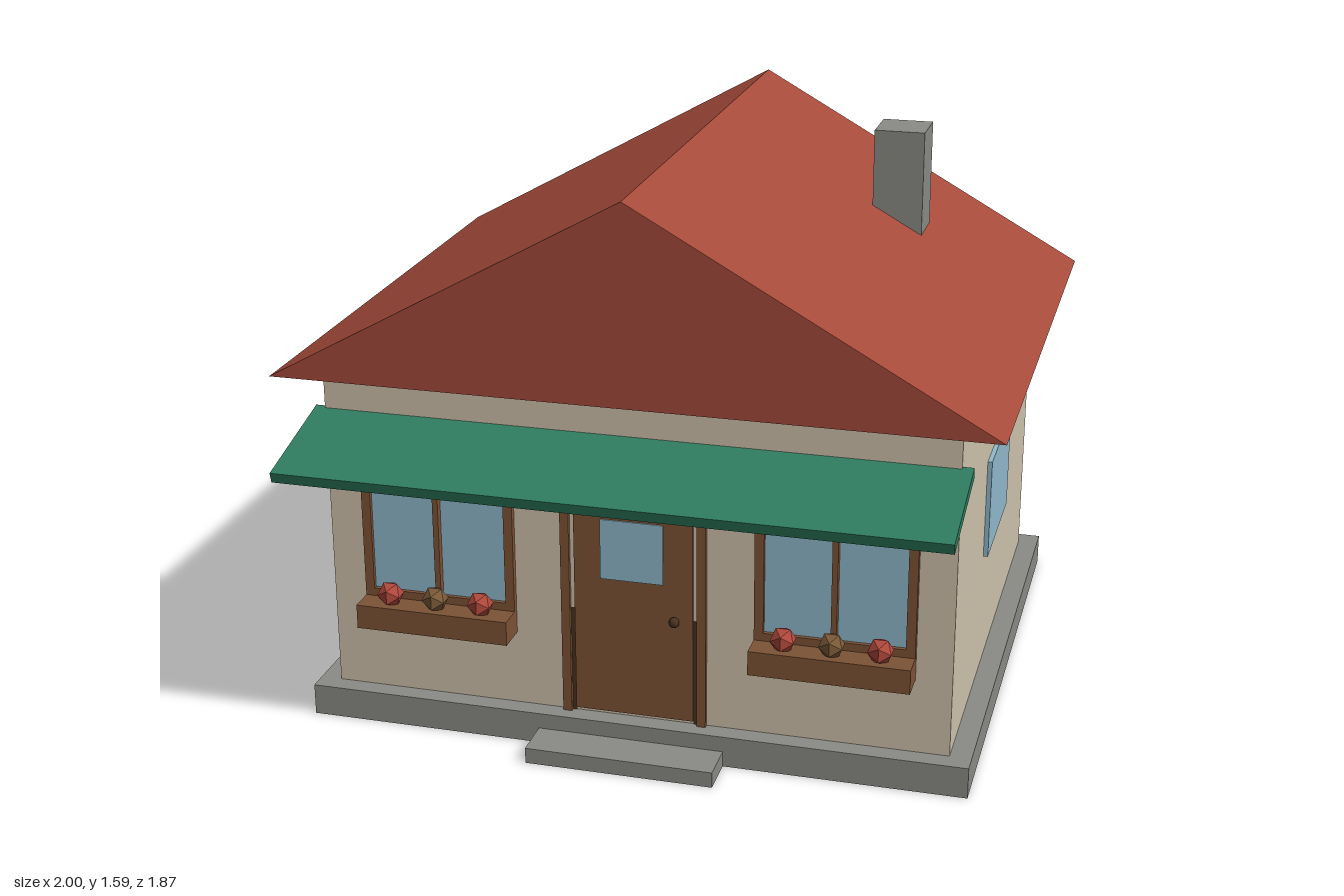
import * as THREE from 'three';

const paint = (name, color) => {
  const m = new THREE.MeshStandardMaterial({ color });
  m.name = name;
  return m;
};

export function createModel() {
  const house = new THREE.Group();
  house.name = 'house';

  const wall = paint('plaster', 0xd0c3ad);
  const roofRed = paint('roofRed', 0xa64b3b);
  const stone = paint('stone', 0x8b8b87);
  const green = paint('awningGreen', 0x2f7d60);
  const wood = paint('wood', 0x7d5335);
  const darkWood = paint('darkWood', 0x49301f);
  const glass = paint('glass', 0x90bacd);
  const red = paint('flowerRed', 0xb0483c);
  const ochre = paint('flowerBrown', 0x7a5a38);

  const add = (parent, name, geometry, material, x = 0, y = 0, z = 0) => {
    const mesh = new THREE.Mesh(geometry, material);
    mesh.name = name;
    mesh.position.set(x, y, z);
    parent.add(mesh);
    return mesh;
  };
  // Box given by its limits along each axis
  const box = (parent, name, material, [x0, x1], [y0, y1], [z0, z1]) =>
    add(parent, name, new THREE.BoxGeometry(x1 - x0, y1 - y0, z1 - z0), material,
      (x0 + x1) / 2, (y0 + y1) / 2, (z0 + z1) / 2);

  // Base and walls
  box(house, 'foundation', stone, [-0.94, 0.94], [0, 0.09], [-0.905, 0.685]);
  box(house, 'doorstep', stone, [-0.265, 0.265], [0, 0.045], [0.685, 0.805]);
  box(house, 'walls', wall, [-0.88, 0.88], [0.09, 1.035], [-0.847, 0.63]);

  // Gabled roof
  const gable = new THREE.Shape([
    new THREE.Vector2(-1, 1.032), new THREE.Vector2(1, 1.032), new THREE.Vector2(0, 1.59),
  ]);
  add(house, 'roof', new THREE.ExtrudeGeometry(gable, { depth: 1.65, bevelEnabled: false }),
    roofRed, 0, 0, -0.935);
  box(house, 'chimney', stone, [0.455, 0.602], [1.2, 1.56], [-0.48, -0.333]);

  // Sloping awning
  const awning = add(house, 'awning', new THREE.BoxGeometry(1.82, 0.03, 0.325), green, 0, 0.87, 0.774);
  awning.rotation.x = 0.25;

  // Side windows
  for (const s of [-1, 1]) {
    add(house, 'sideWindow', new THREE.BoxGeometry(0.02, 0.29, 0.41), glass, s * 0.883, 0.59, -0.11);
  }

  // Front door
  const door = new THREE.Group();
  door.name = 'door';
  house.add(door);
  for (const s of [-1, 1]) {
    add(door, 'doorPost', new THREE.BoxGeometry(0.025, 0.695, 0.02), wood, s * 0.1925, 0.4375, 0.635);
    add(door, 'doorGap', new THREE.BoxGeometry(0.012, 0.34, 0.004), wall, s * 0.174, 0.575, 0.631);
    add(door, 'doorGapLower', new THREE.BoxGeometry(0.012, 0.315, 0.004), darkWood, s * 0.174, 0.2475, 0.631);
  }
  box(door, 'doorLintel', wood, [-0.205, 0.205], [0.745, 0.785], [0.625, 0.645]);
  box(door, 'doorPanel', wood, [-0.168, 0.168], [0.1, 0.745], [0.625, 0.638]);
  box(door, 'doorWindow', glass, [-0.092, 0.085], [0.505, 0.68], [0.636, 0.642]);
  add(door, 'doorKnob', new THREE.SphereGeometry(0.015, 10, 8), darkWood, 0.117, 0.4, 0.647);

  // Front windows with flower boxes
  for (const s of [-1, 1]) {
    const w = new THREE.Group();
    w.name = s < 0 ? 'rightFrontWindow' : 'leftFrontWindow';
    w.position.x = s * 0.56;
    house.add(w);
    box(w, 'pane', glass, [-0.2, 0.2], [0.38, 0.74], [0.625, 0.636]);
    for (const t of [-1, 1]) {
      add(w, 'frameSide', new THREE.BoxGeometry(0.026, 0.4, 0.022), wood, t * 0.207, 0.553, 0.637);
    }
    box(w, 'frameTop', wood, [-0.22, 0.22], [0.727, 0.753], [0.626, 0.648]);
    box(w, 'frameBottom', wood, [-0.22, 0.22], [0.353, 0.4], [0.626, 0.648]);
    box(w, 'mullion', wood, [-0.008, 0.008], [0.39, 0.73], [0.626, 0.656]);
    box(w, 'flowerBox', wood, [-0.22, 0.22], [0.307, 0.377], [0.63, 0.72]);
    [-0.132, 0, 0.132].forEach((x, i) => {
      add(w, 'flower', new THREE.IcosahedronGeometry(0.038, 0), i === 1 ? ochre : red, x, 0.405, 0.682);
    });
  }

  return house;
}
